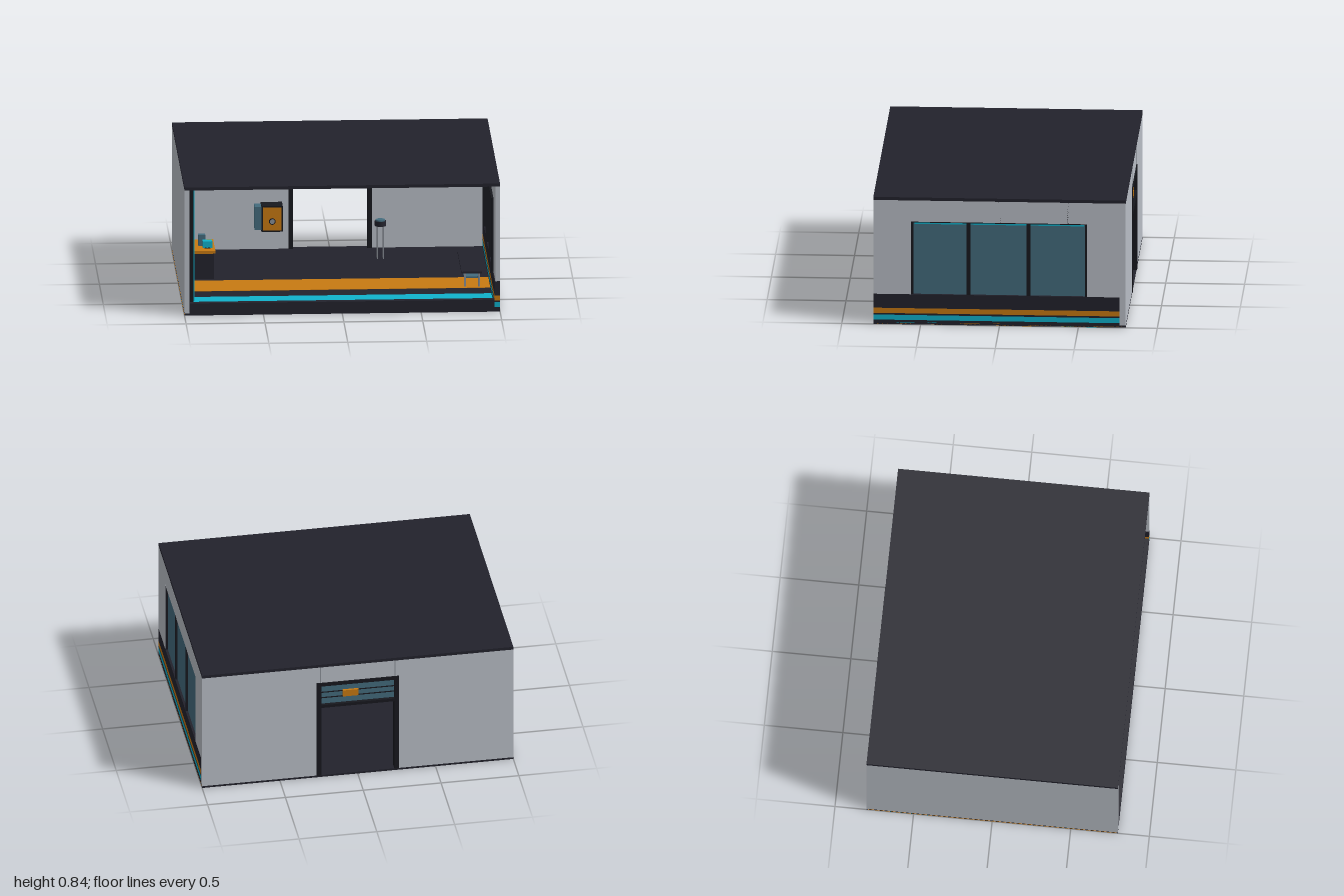
import * as THREE from 'three';

const mat = (name, color, side = THREE.FrontSide) => {
  const m = new THREE.MeshStandardMaterial({ color, side });
  m.name = name;
  return m;
};

export function createModel() {
  const dark = mat('charcoal', 0x22222c);
  const black = mat('black frame', 0x17181e);
  const wall = mat('pale grey wall', 0xbbc0c8);
  const orange = mat('orange', 0xc87a12);
  const cyan = mat('cyan', 0x10b2cc);
  const glass = mat('blue glass', 0x446c7e);
  const metal = mat('grey metal', 0x8b9199);

  const room = new THREE.Group();
  room.name = 'room';
  const group = (name) => {
    const g = new THREE.Group();
    g.name = name;
    room.add(g);
    return g;
  };
  // Box given by its low and high limits on each axis
  const box = (parent, name, m, x0, x1, y0, y1, z0, z1) => {
    const mesh = new THREE.Mesh(new THREE.BoxGeometry(x1 - x0, y1 - y0, z1 - z0), m);
    mesh.position.set((x0 + x1) / 2, (y0 + y1) / 2, (z0 + z1) / 2);
    mesh.name = name;
    parent.add(mesh);
    return mesh;
  };
  const disc = (parent, name, m, r, h, x, y, z, sides = 16) => {
    const mesh = new THREE.Mesh(new THREE.CylinderGeometry(r, r, h, sides), m);
    mesh.position.set(x, y, z);
    mesh.name = name;
    parent.add(mesh);
    return mesh;
  };

  // Floor slab with stripes above, and mirrored stripes below
  const floor = group('floor');
  box(floor, 'slab', dark, -1, 1, 0.001, 0.014, -0.8, 0.8);
  [[cyan, 0.4, 0.67], [orange, 0, 0.26]].forEach(([m, a, b]) => {
    box(floor, 'topStripe', m, -1, 1, 0.0135, 0.0155, a, b);
    box(floor, 'undersideStripe', m, -1, 1, 0, 0.002, -b, -a);
  });
  for (const s of [-1, 1])
    box(floor, 'edgeStripe', orange, s * 1 - 0.001, s * 1, 0.004, 0.009, -0.79, 0.79);
  box(floor, 'frontCurb', dark, -0.965, 0.965, 0.014, 0.08, 0.76, 0.8);

  // Roof
  box(room, 'roof', dark, -1, 1, 0.82, 0.84, -0.8, 0.8);

  // Solid side wall with pilasters and light strips
  const leftSide = group('solidSideWall');
  box(leftSide, 'wallPanel', wall, -1, -0.97, 0.014, 0.82, -0.76, 0.8);
  for (const z of [-0.62, -0.31, 0, 0.31, 0.62]) {
    box(leftSide, 'pilaster', black, -0.97, -0.936, 0.014, 0.815, z - 0.035, z + 0.035);
    box(leftSide, 'lightStrip', cyan, -0.937, -0.929, 0.05, 0.78, z - 0.012, z + 0.012);
  }

  // Window wall: striped base, upper panels and glazing
  const win = group('windowWall');
  [[dark, 0.014, 0.03], [cyan, 0.03, 0.063], [dark, 0.063, 0.074], [orange, 0.074, 0.108], [dark, 0.108, 0.2]]
    .forEach(([m, a, b]) => box(win, 'baseBand', m, 0.965, 1, a, b, -0.76, 0.8));
  box(win, 'frontPier', wall, 0.97, 1, 0.2, 0.82, 0.56, 0.8);
  box(win, 'rearPier', wall, 0.97, 1, 0.2, 0.82, -0.76, -0.555);
  box(win, 'header', wall, 0.97, 1, 0.68, 0.82, -0.555, 0.56);
  box(win, 'glazing', glass, 0.975, 0.985, 0.2, 0.675, -0.55, 0.555);
  for (const z of [0.553, 0.197, -0.183, -0.548]) {
    const w = Math.abs(z) > 0.5 ? 0.007 : 0.013;
    box(win, 'mullion', black, 0.956, 0.998, 0.2, 0.68, z - w, z + w);
  }
  box(win, 'topRail', black, 0.956, 0.998, 0.674, 0.681, -0.555, 0.56);
  box(win, 'topGlow', cyan, 0.97, 0.994, 0.664, 0.674, -0.535, 0.54);
  for (const z of [0, -0.435])
    for (const d of [-0.005, 0.005])
      box(win, 'panelSeam', black, 0.968, 1, 0.68, 0.82, z + d - 0.0015, z + d + 0.0015);

  // Back wall with doorway
  const back = group('backWall');
  for (const s of [-1, 1]) {
    box(back, 'wallPanel', wall, s > 0 ? 0.24 : -1, s > 0 ? 1 : -0.24, 0.014, 0.82, -0.8, -0.76);
    box(back, 'panelSeam', metal, s * 0.24 - 0.003, s * 0.24 + 0.003, 0.7, 0.82, -0.8005, -0.7595);
  }
  box(back, 'lintel', wall, -0.24, 0.24, 0.7, 0.82, -0.8, -0.76);

  // Door frame, transom glass and small outside sign
  const door = group('doorFrame');
  for (const s of [-1, 1])
    box(door, 'post', black, s * 0.25 - 0.015, s * 0.25 + 0.015, 0.014, 0.705, -0.806, -0.745);
  box(door, 'headRail', black, -0.265, 0.265, 0.68, 0.705, -0.806, -0.745);
  box(door, 'midRail', black, -0.24, 0.24, 0.52, 0.54, -0.806, -0.745);
  box(door, 'transom', glass, -0.236, 0.236, 0.54, 0.68, -0.785, -0.765);
  for (const y of [0.585, 0.625])
    box(door, 'transomBar', black, -0.236, 0.236, y - 0.003, y + 0.003, -0.789, -0.784);
  box(door, 'doorPlaque', orange, -0.005, 0.095, 0.587, 0.632, -0.8, -0.784);

  // Row of round lamps over the door
  [cyan, orange, orange].forEach((m, i) => {
    const x = (i - 1) * 0.11;
    disc(room, 'lampRim', black, 0.023, 0.02, x, 0.74, -0.75, 8).rotation.x = Math.PI / 2;
    disc(room, 'lampFace', m, 0.016, 0.024, x, 0.74, -0.747, 8).rotation.x = Math.PI / 2;
  });

  // Ceiling lights
  for (const x of [-0.48, 0.48]) {
    const light = group('ceilingLight');
    box(light, 'housing', wall, x - 0.063, x + 0.063, 0.806, 0.821, -0.55, 0.55);
    box(light, 'diffuser', cyan, x - 0.04, x + 0.04, 0.797, 0.807, -0.53, 0.53);
  }

  // Service counter with a small terminal
  const counter = group('counter');
  box(counter, 'body', dark, -0.915, -0.772, 0.014, 0.182, -0.29, -0.045);
  box(counter, 'top', orange, -0.925, -0.763, 0.182, 0.2, -0.32, -0.03);
  box(counter, 'terminal', cyan, -0.84, -0.78, 0.205, 0.248, -0.13, -0.09);
  box(counter, 'terminalFoot', black, -0.83, -0.79, 0.2, 0.206, -0.13, -0.09);
  box(counter, 'screen', glass, -0.865, -0.82, 0.2, 0.27, -0.2, -0.16);

  // Cabinet hung on the back wall
  const cabinet = group('wallCabinet');
  box(cabinet, 'case', black, -0.44, -0.305, 0.152, 0.322, -0.76, -0.66);
  box(cabinet, 'panel', orange, -0.431, -0.314, 0.162, 0.312, -0.665, -0.655);
  box(cabinet, 'sidePanel', glass, -0.482, -0.44, 0.16, 0.312, -0.76, -0.68);
  disc(cabinet, 'knobRim', black, 0.021, 0.01, -0.372, 0.222, -0.653).rotation.x = Math.PI / 2;
  disc(cabinet, 'knob', metal, 0.016, 0.014, -0.372, 0.222, -0.652).rotation.x = Math.PI / 2;

  // Stool
  const stool = group('stool');
  disc(stool, 'seat', dark, 0.036, 0.032, 0.306, 0.243, -0.5);
  disc(stool, 'cushion', glass, 0.03, 0.01, 0.306, 0.263, -0.5);
  for (const sx of [-1, 1])
    for (const sz of [-1, 1])
      disc(stool, 'leg', metal, 0.004, 0.216, 0.306 + sx * 0.019, 0.122, -0.5 + sz * 0.019, 8);

  // Low bench under the window
  const bench = group('bench');
  box(bench, 'seat', dark, 0.783, 0.912, 0.105, 0.118, -0.25, 0.25);
  box(bench, 'shelf', glass, 0.8, 0.9, 0.07, 0.082, -0.23, 0.23);
  for (const x of [0.8, 0.89])
    for (const z of [-0.23, 0.22])
      box(bench, 'leg', metal, x, x + 0.012, 0.014, 0.106, z, z + 0.012);

  return room;
}
